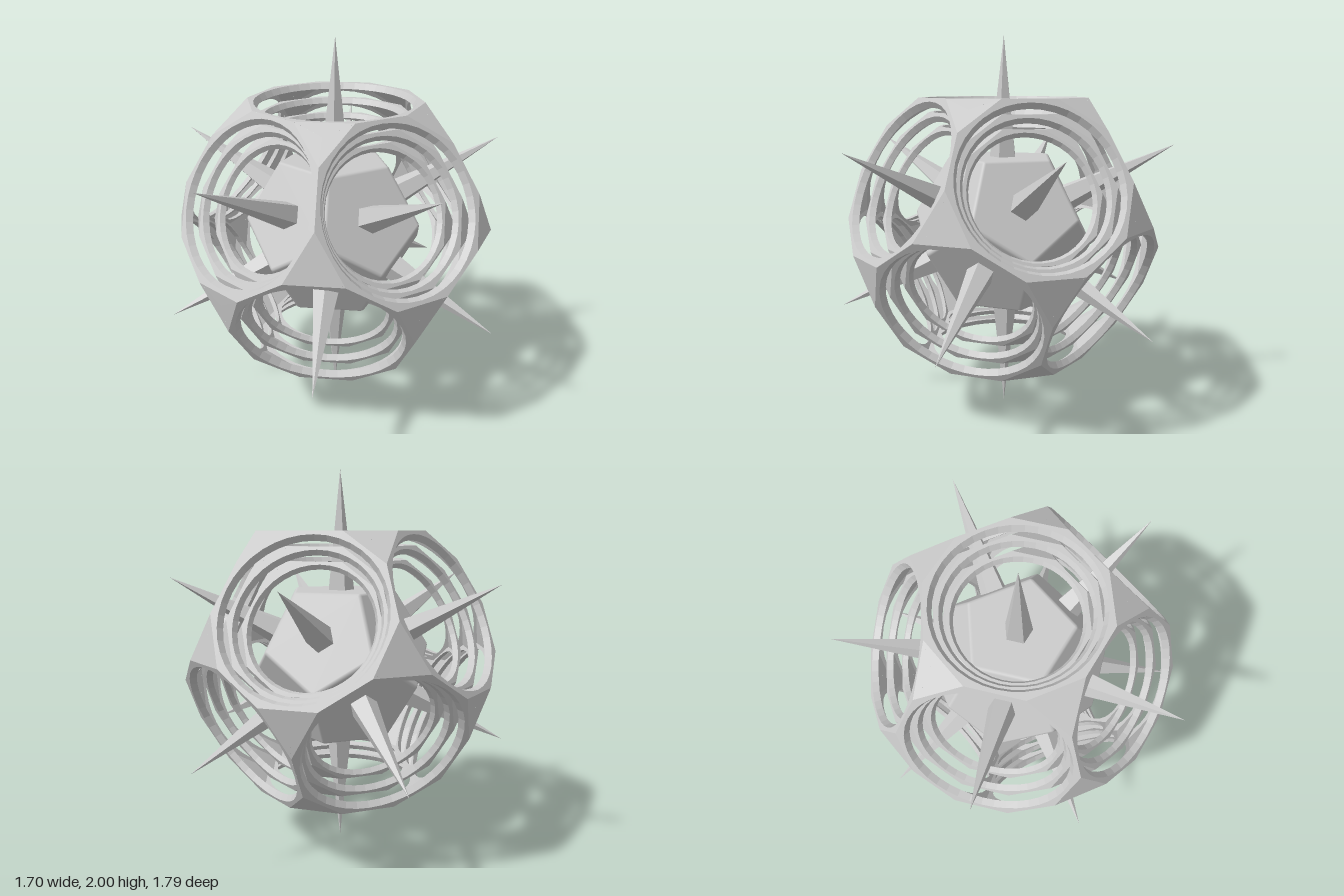
import * as THREE from 'three';
import { ConvexGeometry } from 'three/addons/geometries/ConvexGeometry.js';
import { mergeGeometries } from 'three/addons/utils/BufferGeometryUtils.js';

const H = 0.689;                       // centre to face of the outer shell
const APOTHEM = 0.618 * H;             // face centre to edge middle
const CORNER = 0.7639 * H;             // face centre to untruncated corner
const HOLE = 0.407;                    // radius of the round openings
const CORE = 0.383;                    // centre to face of the solid core
const SEG = 40;
const V = (x, y, z) => new THREE.Vector3(x, y, z);

// Twelve rotations carrying the top face (+y, corner toward -z) to every face
function faceMatrices() {
  const list = [new THREE.Matrix4()];
  for (let k = 0; k < 5; k++) {
    list.push(new THREE.Matrix4().makeRotationY(k * Math.PI * 0.4)
      .multiply(new THREE.Matrix4().makeRotationX(Math.atan(2)))
      .multiply(new THREE.Matrix4().makeRotationY(Math.PI)));
  }
  const flip = new THREE.Matrix4().makeRotationX(Math.PI);
  return list.concat(list.map(m => flip.clone().multiply(m)));
}

const around = (radius, angle, y) => V(radius * Math.sin(angle), y, -radius * Math.cos(angle));

// One decagonal face with a round opening, plus its share of the corner triangles
function shellFace(thin) {
  const pos = [];
  const tri = (...pts) => pts.forEach(p => pos.push(p.x, p.y, p.z));
  const decagon = j => {
    const a = j * 2 * Math.PI / SEG, step = Math.PI / 5;
    const off = a - Math.round(a / step) * step;
    return around(APOTHEM / Math.cos(off), a, H);
  };
  const section = j => {
    const o = decagon(j), i = around(HOLE, j * 2 * Math.PI / SEG, H);
    return [o, i, i.clone().multiplyScalar(thin), o.clone().multiplyScalar(thin)];
  };
  for (let j = 0; j < SEG; j++) {
    const a = section(j), b = section(j + 1);
    for (let i = 0; i < 3; i++) {
      tri(b[i], a[i], a[i + 1]);
      tri(b[i], a[i + 1], b[i + 1]);
    }
  }
  for (let k = 0; k < 5; k++) {
    const mid = around(APOTHEM, k * Math.PI * 0.4, H);
    const dir = around(CORNER, k * Math.PI * 0.4, H).normalize();
    const c = dir.multiplyScalar(mid.dot(dir));
    const l = decagon(k * 8 - 2), r = decagon(k * 8 + 2);
    tri(c, l, r);
    tri(...[c, r, l].map(p => p.clone().multiplyScalar(thin)));
  }
  const g = new THREE.BufferGeometry();
  g.setAttribute('position', new THREE.Float32BufferAttribute(pos, 3));
  g.computeVertexNormals();
  return g;
}

// Dodecahedron with rounded edges: hull of small rounded corners
function roundedCore(faces) {
  const r = 0.022, inner = CORE - r;
  const normals = faces.map(m => V(0, 1, 0).applyMatrix4(m));
  const dirs = [...normals], corners = [];
  normals.forEach((a, i) => normals.forEach((b, j) => {
    if (j <= i || a.dot(b) < 0.4) return;
    dirs.push(a.clone().add(b).normalize());
    normals.forEach((c, k) => {
      if (k > j && a.dot(c) > 0.4 && b.dot(c) > 0.4)
        corners.push(a.clone().add(b).add(c).normalize().multiplyScalar(inner * 1.2584));
    });
  }));
  const pts = [], ptDirs = [];
  corners.forEach(c => dirs.forEach(d => {
    if (d.dot(c) < 0.5 * c.length()) return;
    pts.push(c.clone().addScaledVector(d, r));
    ptDirs.push(d);
  }));
  const g = new ConvexGeometry(pts);
  const p = g.attributes.position, n = g.attributes.normal, q = V(0, 0, 0);
  for (let i = 0; i < p.count; i++) {
    q.fromBufferAttribute(p, i);
    let best = 0;
    pts.forEach((t, k) => { if (t.distanceToSquared(q) < pts[best].distanceToSquared(q)) best = k; });
    n.setXYZ(i, ptDirs[best].x, ptDirs[best].y, ptDirs[best].z);
  }
  return g;
}

export function createModel() {
  const group = new THREE.Group();
  const smooth = new THREE.MeshStandardMaterial({ color: 0xcccccc });
  const flat = new THREE.MeshStandardMaterial({ color: 0xcccccc, flatShading: true });
  const faces = faceMatrices();
  const add = (name, geometry, material) => {
    const mesh = new THREE.Mesh(geometry, material);
    mesh.name = name;
    mesh.position.y = 1;
    group.add(mesh);
    return mesh;
  };

  // Three nested pierced shells
  const face = shellFace(0.955);
  const shell = mergeGeometries(faces.map(m => face.clone().applyMatrix4(m)));
  [['outerShell', 1], ['middleShell', 0.893], ['innerShell', 0.786]].forEach(([name, s]) =>
    add(name, shell, flat).scale.setScalar(s));

  // Solid core
  add('core', roundedCore(faces), smooth);

  // Five-sided spikes, one through each opening
  const start = CORE - 0.01;
  const spike = new THREE.ConeGeometry(0.075, 1 - start, 5)
    .rotateY(Math.PI).translate(0, (1 + start) / 2, 0);
  faces.forEach((m, i) => add('spike' + (i + 1), spike.clone().applyMatrix4(m), flat));

  return group;
}
